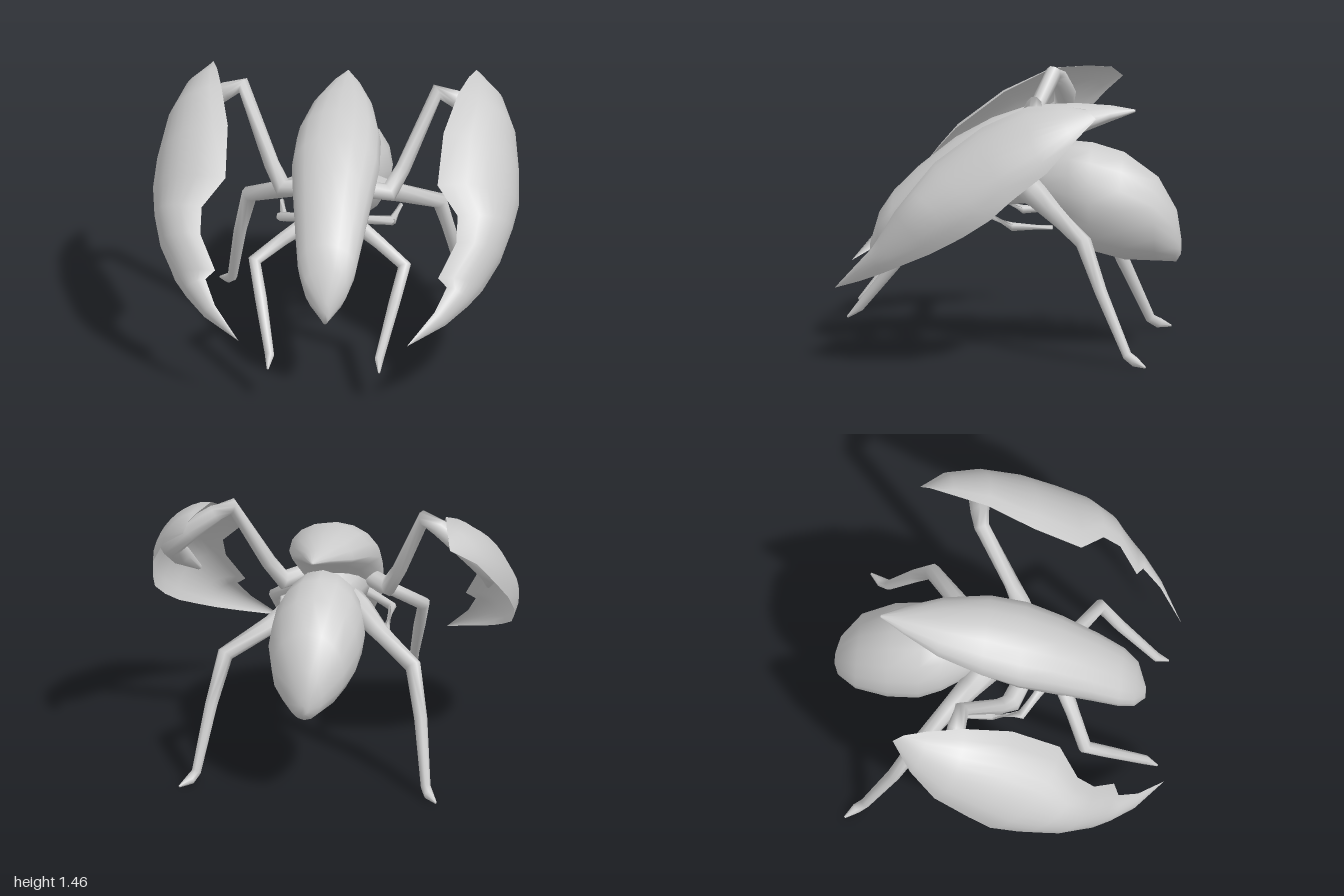
import * as THREE from 'three';

const V = (p) => new THREE.Vector3(p[0], p[1], p[2]);

// Skin a list of equal-length rings; closed rings get fan caps at both ends
function loft(rings, closed = true) {
  const n = rings[0].length, pos = [], idx = [];
  const add = (v) => pos.push(v.x, v.y, v.z) / 3 - 1;
  rings.forEach((r) => r.forEach(add));
  const span = closed ? n : n - 1;
  for (let i = 0; i < rings.length - 1; i++) {
    for (let j = 0; j < span; j++) {
      const k = (j + 1) % n;
      const a = i * n + j, b = i * n + k, c = b + n, d = a + n;
      idx.push(a, b, d, b, c, d);
    }
  }
  if (closed) {
    [0, rings.length - 1].forEach((i) => {
      const mid = new THREE.Vector3();
      rings[i].forEach((v) => mid.addScaledVector(v, 1 / n));
      const m = add(mid);
      for (let j = 0; j < n; j++) {
        const a = i * n + j, b = i * n + (j + 1) % n;
        idx.push(...(i ? [m, a, b] : [m, b, a]));
      }
    });
  }
  const g = new THREE.BufferGeometry();
  g.setAttribute('position', new THREE.Float32BufferAttribute(pos, 3));
  g.setIndex(idx);
  g.computeVertexNormals();
  return g;
}

// Body section rows: z, top, widest height, bottom, half width (z increasing)
function bodyForm(rows, sides = 16) {
  return loft(rows.map(([z, top, rim, bottom, w]) =>
    Array.from({ length: sides }, (_, j) => {
      const a = (j / sides) * Math.PI * 2, s = Math.sin(a);
      return new THREE.Vector3(Math.cos(a) * w, rim + s * (s > 0 ? top - rim : rim - bottom), z);
    })));
}

// Tapered jointed limb: rows of x, y, z, radius
function limb(rows, sides = 8) {
  const pts = rows.map(V);
  return loft(pts.map((p, i) => {
    const into = p.clone().sub(pts[Math.max(i - 1, 0)]).normalize();
    const out = pts[Math.min(i + 1, pts.length - 1)].clone().sub(p).normalize();
    const t = into.add(out).normalize();
    const n1 = new THREE.Vector3(0.3, 0.2, 1).cross(t).normalize();
    const n2 = t.clone().cross(n1);
    return Array.from({ length: sides }, (_, j) => {
      const a = (j / sides) * Math.PI * 2;
      return p.clone().addScaledVector(n1, Math.cos(a) * rows[i][3])
        .addScaledVector(n2, Math.sin(a) * rows[i][3]);
    });
  }));
}

// Curved plate between an inner and an outer edge, bulging outward
function shield(rows, steps = 10) {
  const dir = new THREE.Vector3(-0.71, 0.52, 0.46);
  return loft(rows.map(([inner, outer, bulge]) =>
    Array.from({ length: steps + 1 }, (_, j) => {
      const t = j / steps;
      const rise = bulge * Math.pow(4 * t * (1 - t), 0.8);
      return V(inner).lerp(V(outer), t).addScaledVector(dir, rise);
    })), false);
}

// Flip across x and restore the face order
function mirrored(g) {
  const m = g.clone().scale(-1, 1, 1), ix = m.index.array;
  for (let i = 0; i < ix.length; i += 3) [ix[i], ix[i + 1]] = [ix[i + 1], ix[i]];
  m.computeVertexNormals();
  return m;
}

export function createModel() {
  const model = new THREE.Group();
  const grey = new THREE.MeshStandardMaterial({ color: 0xcccccc, side: THREE.DoubleSide });
  grey.name = 'shell grey';

  const addPart = (name, geometry) => {
    const mesh = new THREE.Mesh(geometry, grey);
    mesh.name = name;
    model.add(mesh);
  };
  const addPair = (name, geometry) => {
    addPart('right' + name, geometry);
    addPart('left' + name, mirrored(geometry));
  };

  // Long head shell, pointed at the back and at the lower front
  addPart('headShell', bodyForm([
    [-0.68, 1.315, 1.305, 1.3, 0.008],
    [-0.55, 1.335, 1.28, 1.25, 0.08],
    [-0.35, 1.345, 1.22, 1.17, 0.17],
    [-0.1, 1.33, 1.15, 1.03, 0.23],
    [0.1, 1.26, 1.07, 0.86, 0.24],
    [0.3, 1.15, 0.97, 0.72, 0.215],
    [0.5, 0.99, 0.83, 0.62, 0.185],
    [0.64, 0.85, 0.71, 0.54, 0.16],
    [0.72, 0.73, 0.63, 0.47, 0.12],
    [0.77, 0.56, 0.5, 0.43, 0.025],
  ]));

  // Thorax under the shell
  addPart('thorax', bodyForm([
    [-0.24, 1.0, 0.92, 0.82, 0.09],
    [-0.1, 1.08, 0.93, 0.79, 0.15],
    [0.1, 1.08, 0.92, 0.77, 0.18],
    [0.3, 1.0, 0.85, 0.7, 0.16],
    [0.45, 0.9, 0.77, 0.66, 0.1],
  ], 12));

  // Drooping abdomen
  addPart('abdomen', bodyForm([
    [-0.93, 0.62, 0.57, 0.52, 0.03],
    [-0.905, 0.77, 0.62, 0.48, 0.1],
    [-0.8, 0.95, 0.72, 0.483, 0.2],
    [-0.62, 1.08, 0.79, 0.487, 0.25],
    [-0.45, 1.13, 0.83, 0.53, 0.255],
    [-0.33, 1.14, 0.87, 0.61, 0.22],
    [-0.2, 1.08, 0.9, 0.72, 0.15],
    [-0.1, 0.99, 0.91, 0.82, 0.08],
  ]));

  // Big claw shields: inner edge, outer edge, bulge
  addPair('ClawShield', shield([
    [[-0.72, 1.43, -0.48], [-0.74, 1.38, -0.54], 0],
    [[-0.69, 1.44, -0.36], [-0.87, 1.27, -0.43], 0.05],
    [[-0.65, 1.43, -0.16], [-0.95, 1.11, -0.29], 0.1],
    [[-0.59, 1.3, 0.1], [-0.985, 0.96, -0.1], 0.14],
    [[-0.58, 1.1, 0.36], [-0.995, 0.85, 0.02], 0.15],
    [[-0.7, 0.97, 0.47], [-0.965, 0.75, 0.17], 0.13],
    [[-0.7, 0.85, 0.56], [-0.92, 0.65, 0.35], 0.11],
    [[-0.61, 0.68, 0.66], [-0.84, 0.56, 0.54], 0.08],
    [[-0.66, 0.64, 0.69], [-0.77, 0.51, 0.64], 0.05],
    [[-0.6, 0.53, 0.79], [-0.66, 0.45, 0.77], 0.025],
    [[-0.46, 0.38, 0.92], [-0.46, 0.38, 0.92], 0],
  ]));

  // Raised arms, folding down along the inside of the shields
  addPair('ShieldArm', limb([
    [-0.08, 0.98, 0.15, 0.05],
    [-0.29, 0.92, 0.06, 0.055],
    [-0.36, 1.04, 0, 0.042],
    [-0.53, 1.42, -0.18, 0.045],
    [-0.62, 1.38, -0.2, 0.05],
    [-0.76, 1.28, -0.22, 0.06],
    [-0.87, 1.17, -0.2, 0.06],
    [-0.86, 1.05, 0.02, 0.06],
    [-0.8, 0.87, 0.3, 0.015],
  ]));

  // Front walking legs
  addPair('FrontLeg', limb([
    [-0.08, 0.87, 0.3, 0.05],
    [-0.26, 0.77, 0.4, 0.038],
    [-0.41, 0.67, 0.48, 0.038],
    [-0.365, 0.5, 0.6, 0.033],
    [-0.3, 0.25, 0.8, 0.026],
    [-0.305, 0.195, 0.865, 0.006],
  ]));

  // Rear walking legs with pointed feet
  addPair('RearLeg', limb([
    [-0.05, 0.91, -0.05, 0.09],
    [-0.18, 0.86, -0.16, 0.068],
    [-0.3, 0.78, -0.27, 0.052],
    [-0.52, 0.66, -0.45, 0.045],
    [-0.58, 0.4, -0.55, 0.036],
    [-0.635, 0.06, -0.7, 0.027],
    [-0.66, 0.03, -0.745, 0.028],
    [-0.71, 0.008, -0.805, 0.006],
  ]));

  // Small folded middle limbs
  addPair('MiddleLimb', limb([
    [-0.12, 0.83, 0.24, 0.03],
    [-0.3, 0.78, 0.12, 0.026],
    [-0.295, 0.705, -0.04, 0.024],
    [-0.325, 0.71, -0.26, 0.012],
  ], 6));

  return model;
}
